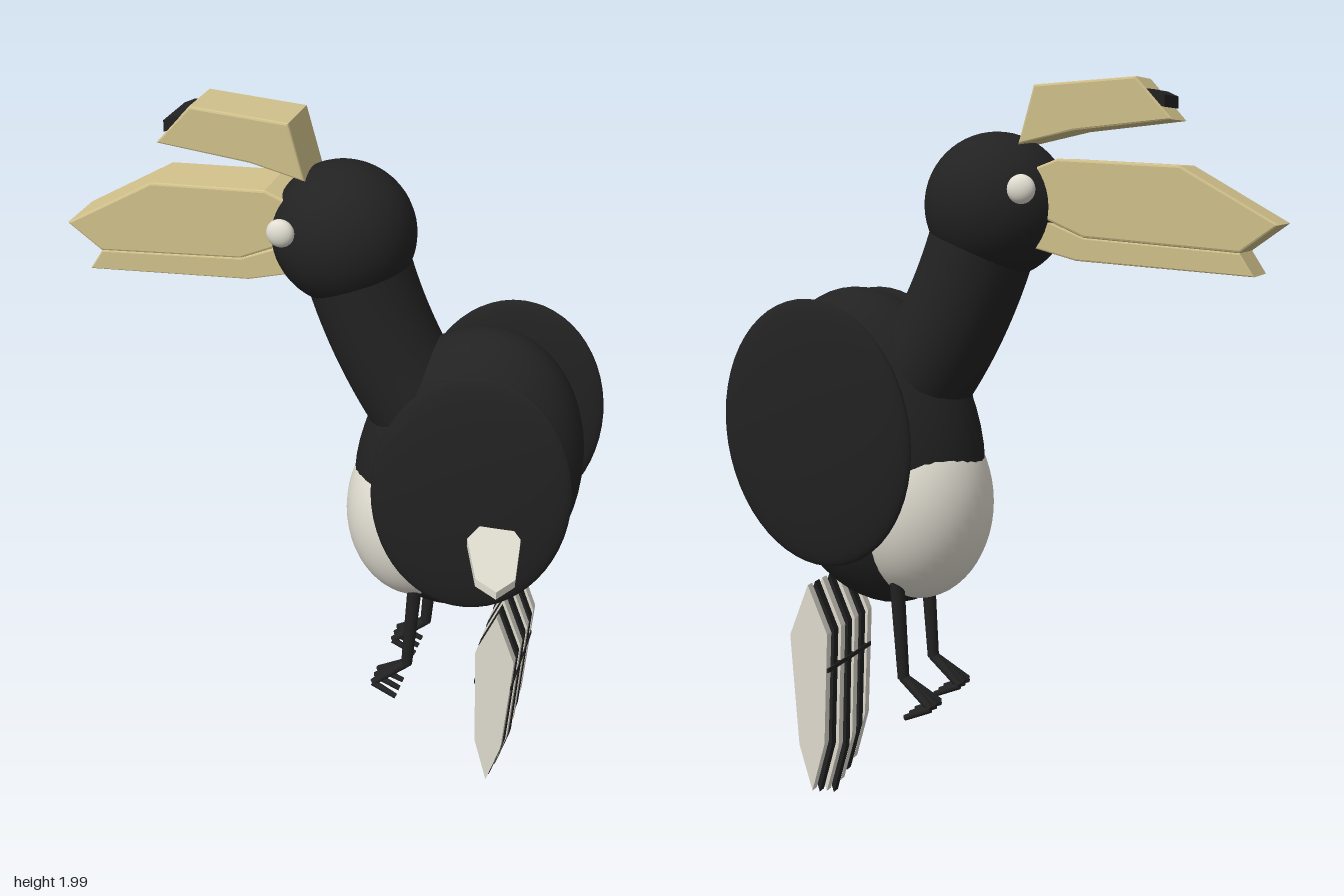
import * as THREE from 'three';

const mat = (name, color) => Object.assign(new THREE.MeshStandardMaterial({ color }), { name });
const MID = -0.14; // z of the bird's plane of symmetry

export function createModel() {
  const bird = new THREE.Group();
  bird.name = 'bird';
  const black = mat('black plumage', 0x222222);
  const white = mat('white plumage', 0xe2ded2);
  const horn = mat('beak horn', 0xd2c28c);

  const add = (name, geometry, material) => {
    const mesh = new THREE.Mesh(geometry, material);
    mesh.name = name;
    bird.add(mesh);
    return mesh;
  };
  // Ellipsoid leaning by `lean` radians towards the tail
  const ellipsoid = (name, material, [x, y, z], radii, lean = 0) => {
    const mesh = add(name, new THREE.SphereGeometry(1, 40, 28), material);
    mesh.scale.set(...radii);
    mesh.rotation.z = -lean;
    mesh.position.set(x, y, z);
    return mesh;
  };
  // Flat outline in x/y, given a thickness centred on z
  const plate = (name, material, points, z, width, bevel = 0) => {
    const shape = new THREE.Shape(points.map(([x, y]) => new THREE.Vector2(x, y)));
    const geometry = new THREE.ExtrudeGeometry(shape, {
      depth: width - 2 * bevel, bevelEnabled: bevel > 0, bevelSize: bevel,
      bevelThickness: bevel, bevelOffset: -bevel, bevelSegments: 2,
    });
    geometry.translate(0, 0, z - width / 2 + bevel);
    return add(name, geometry, material);
  };
  // Straight rod between two points
  const rod = (name, a, b, r1, r2) => {
    const from = new THREE.Vector3(...a), to = new THREE.Vector3(...b);
    const dir = to.clone().sub(from);
    const mesh = add(name, new THREE.CylinderGeometry(r2, r1, dir.length(), 10), black);
    mesh.position.copy(from).add(to).multiplyScalar(0.5);
    mesh.quaternion.setFromUnitVectors(new THREE.Vector3(0, 1, 0), dir.normalize());
  };

  // Body, belly and head
  ellipsoid('body', black, [0.39, 1.025, MID], [0.308, 0.44, 0.212], 0.21);
  ellipsoid('belly', white, [0.26, 0.88, MID], [0.205, 0.27, 0.2]);
  ellipsoid('head', black, [0.03, 1.68, MID], [0.192, 0.19, 0.179]);

  // Curved neck
  const neckPath = new THREE.QuadraticBezierCurve3(
    new THREE.Vector3(0.06, 1.62, MID), new THREE.Vector3(0.125, 1.4, MID), new THREE.Vector3(0.25, 1.22, MID));
  add('neck', new THREE.TubeGeometry(neckPath, 16, 0.142, 32), black);

  // Beak and casque
  plate('upperBeak', horn, [[-0.725, 1.64], [-0.63, 1.571], [-0.23, 1.603], [-0.08, 1.67],
    [-0.08, 1.77], [-0.16, 1.8], [-0.476, 1.783]], MID - 0.003, 0.165, 0.006);
  plate('lowerBeak', horn, [[-0.667, 1.513], [-0.21, 1.545], [-0.08, 1.58], [-0.08, 1.665],
    [-0.23, 1.603], [-0.63, 1.571]], MID - 0.003, 0.16, 0.004);
  plate('casque', horn, [[-0.455, 1.894], [-0.2, 1.868], [-0.053, 1.836], [-0.095, 1.984],
    [-0.36, 2.0]], MID, 0.155, 0.006);
  plate('casquePatch', black, [[-0.433, 1.925], [-0.395, 1.935], [-0.385, 1.97], [-0.405, 1.968],
    [-0.433, 1.955]], MID, 0.145);

  for (const side of [1, -1]) {
    const name = side > 0 ? 'left' : 'right';
    ellipsoid(name + 'Eye', white, [-0.09, 1.725, MID + side * 0.158], [0.037, 0.037, 0.024]);
    ellipsoid(name + 'Wing', black, [0.45, 1.09, MID + side * 0.235], [0.265, 0.355, 0.04], 0.14);

    // Leg with three hooked toes
    const z = MID + side * 0.108;
    rod(name + 'Leg', [0.285, 0.72, z], [0.267, 0.405, z], 0.021, 0.016);
    for (const i of [-1, 0, 1]) {
      const knuckle = [0.175, 0.338, z + i * 0.034];
      rod(name + 'Toe', [0.267, 0.408, z], knuckle, 0.014, 0.01);
      rod(name + 'Claw', knuckle, [0.248, 0.308, z + i * 0.04], 0.01, 0.008);
    }
  }

  // Tail fan: alternating feathers, longest in the middle
  for (let i = -3; i <= 3; i++) {
    const lift = [0, 0.02, 0.035, 0.055][Math.abs(i)];
    plate('tailFeather', i % 2 ? white : black, [[0.53, 0.655], [0.475, 0.52], [0.49, 0.15 + lift],
      [0.53, 0.01 + lift], [0.567, 0.14 + lift], [0.587, 0.51]], MID + i * 0.045, 0.027);
  }
  const bar = add('tailBar', new THREE.BoxGeometry(0.108, 0.012, 0.285), black);
  bar.position.set(0.53, 0.415, MID);

  // Flat wing feathers, lying level
  for (const offset of [0, -0.435]) {
    const feather = plate('wingFeather', white, [[0.5, -0.1], [0.56, -0.1], [0.605, -0.163], [0.63, -0.345],
      [0.597, -0.41], [0.535, -0.37], [0.473, -0.2]], 0, 0.022);
    feather.rotation.x = -Math.PI / 2;
    feather.position.set(0, 1.02, offset);
  }

  return bird;
}
